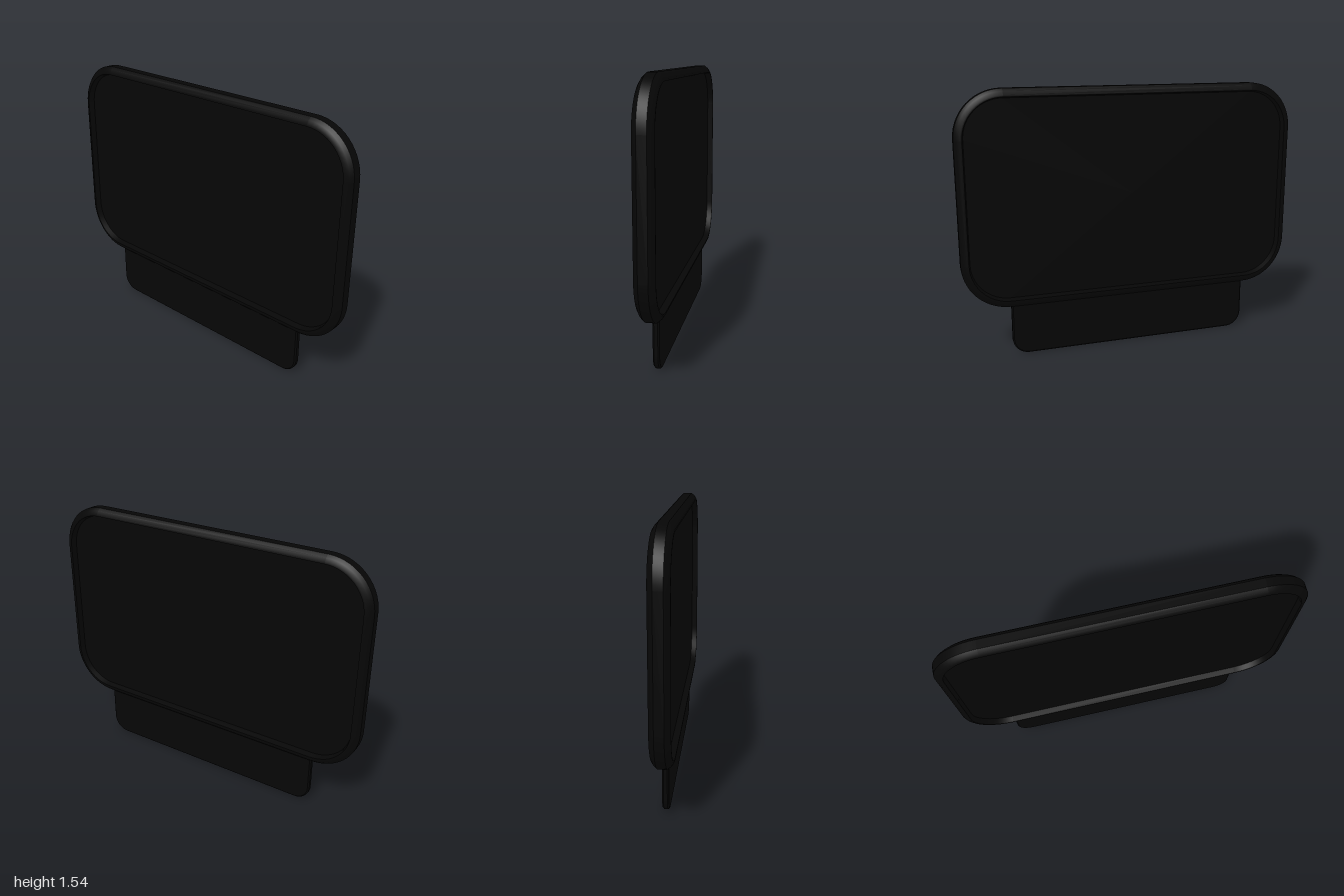
import * as THREE from 'three';
import { toCreasedNormals } from 'three/addons/utils/BufferGeometryUtils.js';

// Points of a rounded rectangle, counter-clockwise, shrunk by an inset
function outline(width, height, radius, inset, steps = 14) {
  const r = radius - inset;
  const points = [];
  const corners = [[1, 1], [-1, 1], [-1, -1], [1, -1]];
  corners.forEach(([sx, sy], i) => {
    for (let k = 0; k <= steps; k++) {
      const a = (i + k / steps) * Math.PI / 2;
      points.push([
        sx * (width / 2 - radius) + r * Math.cos(a),
        sy * (height / 2 - radius) + r * Math.sin(a),
      ]);
    }
  });
  return points;
}

// Slab lofted through rings from back to front; profile holds [inset, z] of the front half
function slab(width, height, radius, profile) {
  const rings = [
    ...profile.map(([inset, z]) => [inset, -z]).reverse(),
    ...profile,
  ];
  const positions = [];
  const indices = [];
  let n = 0;
  for (const [inset, z] of rings) {
    const points = outline(width, height, radius, inset);
    n = points.length;
    for (const [x, y] of points) positions.push(x, y, z);
  }
  // Edge bands
  for (let r = 0; r < rings.length - 1; r++) {
    for (let k = 0; k < n; k++) {
      const a = r * n + k;
      const b = r * n + (k + 1) % n;
      indices.push(a, b, b + n, a, b + n, a + n);
    }
  }
  // Flat back and front faces
  const last = (rings.length - 1) * n;
  const back = positions.length / 3;
  positions.push(0, 0, rings[0][1], 0, 0, rings[rings.length - 1][1]);
  for (let k = 0; k < n; k++) {
    const next = (k + 1) % n;
    indices.push(back, next, k, back + 1, last + k, last + next);
  }
  const geometry = new THREE.BufferGeometry();
  geometry.setAttribute('position', new THREE.Float32BufferAttribute(positions, 3));
  geometry.setIndex(indices);
  return toCreasedNormals(geometry, 0.6);
}

export function createModel() {
  const group = new THREE.Group();
  group.name = 'panelOnBase';
  const black = new THREE.MeshStandardMaterial({ color: 0x060606 });
  black.name = 'black';

  const add = (name, geometry, y) => {
    const mesh = new THREE.Mesh(geometry, black);
    mesh.name = name;
    mesh.position.y = y;
    group.add(mesh);
  };

  // Large panel: raised bevelled rim around sunken faces on both sides
  add('panel', slab(2, 1.235, 0.27, [
    [0, 0.025], [0.015, 0.042], [0.034, 0.054], [0.044, 0.054], [0.052, 0.019],
  ]), 0.918);

  // Thin base plate, its top hidden inside the panel
  add('basePlate', slab(1.454, 0.5, 0.095, [[0, 0.01], [0.008, 0.018]]), 0.25);

  return group;
}
